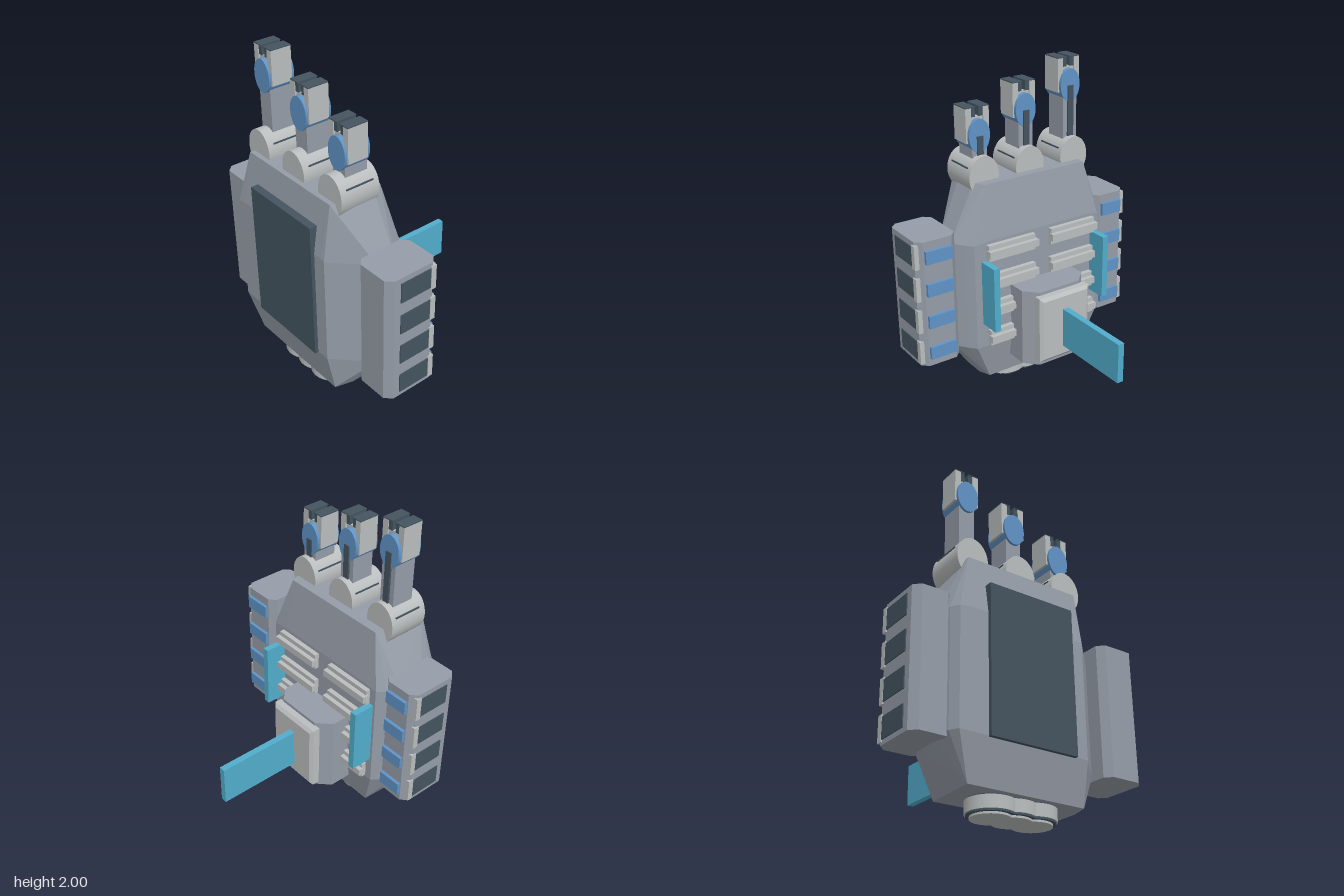
import * as THREE from 'three';
import { ConvexGeometry } from 'three/addons/geometries/ConvexGeometry.js';

export function createModel() {
  const model = new THREE.Group();
  model.name = 'mechanicalHand';
  const mat = (name, color) => {
    const m = new THREE.MeshStandardMaterial({ color });
    m.name = name;
    return m;
  };
  const grey = mat('armour grey', 0x969da8);
  const light = mat('light metal', 0xbabebe);
  const dark = mat('dark steel', 0x445460);
  const blue = mat('joint blue', 0x6094c6);
  const cyan = mat('fin cyan', 0x52adcc);

  const add = (name, geometry, material, parent = model) => {
    const mesh = new THREE.Mesh(geometry, material);
    mesh.name = name;
    parent.add(mesh);
    return mesh;
  };
  // box given by its min and max on each axis
  const box = (name, material, x0, x1, y0, y1, z0, z1, parent) => {
    const m = add(name, new THREE.BoxGeometry(x1 - x0, y1 - y0, z1 - z0), material, parent);
    m.position.set((x0 + x1) / 2, (y0 + y1) / 2, (z0 + z1) / 2);
    return m;
  };
  // convex solid through corner points
  const hull = (name, material, pts, parent) =>
    add(name, new ConvexGeometry(pts.map(p => new THREE.Vector3(...p))), material, parent);
  // upright prism over an x,z outline
  const prism = (name, material, outline, y0, y1, parent) =>
    hull(name, material, outline.flatMap(([x, z]) => [[x, y0, z], [x, y1, z]]), parent);
  // oval drum lying along z
  const drum = (name, material, x, y, rx, ry, z0, z1, parent) => {
    const g = new THREE.CylinderGeometry(1, 1, z1 - z0, 32).rotateX(Math.PI / 2).scale(rx, ry, 1);
    const m = add(name, g, material, parent);
    m.position.set(x, y, (z0 + z1) / 2);
    return m;
  };

  // palm: bevelled octagonal slab; sections are z, side x, end x, end y
  const palm = [];
  for (const [z, xl, xr, el, er, y0, y1] of [
    [0.60, -0.52, 0.29, -0.45, 0.26, 0.35, 1.04],
    [0.55, -0.55, 0.34, -0.44, 0.29, 0.10, 1.37],
    [0.44, -0.58, 0.45, -0.42, 0.32, 0.10, 1.37],
    [0.40, -0.58, 0.49, -0.42, 0.32, 0.10, 1.37],
    [0.28, -0.58, 0.49, -0.42, 0.32, 0.10, 1.37],
    [0.21, -0.54, 0.44, -0.42, 0.29, 0.10, 1.37],
    [0.16, -0.50, 0.40, -0.42, 0.29, 0.35, 1.04],
  ]) {
    palm.push([el, y1, z], [er, y1, z], [er, y0, z], [el, y0, z]);
    for (const y of [0.35, 1.03]) palm.push([xl, y, z], [xr, y, z]);
  }
  hull('palm', grey, palm);
  box('palmPanel', dark, -0.345, 0.205, 0.345, 1.21, 0.54, 0.622);

  // side pods with vents, clips and rear lights
  const pod = (side, inner, outer) => {
    const g = new THREE.Group();
    g.name = side > 0 ? 'leftPod' : 'rightPod';
    model.add(g);
    const span = (name, m, a, b, ...rest) =>
      box(name, m, Math.min(side * a, side * b), Math.max(side * a, side * b), ...rest, g);
    const i = inner, o = outer, c = 0.04;
    prism('podShell', grey, [[i, 0.24], [i + c, 0.2], [o - c, 0.2], [o, 0.24],
      [o, 0.5], [o - c, 0.54], [i + c, 0.54], [i, 0.5]].map(([x, z]) => [side * x, z]), 0.32, 1.12, g);
    for (let k = 0; k < 4; k++) {
      const y = 1.025 - k * 0.205;
      span('vent', dark, o - 0.02, o + 0.006, y - 0.062, y + 0.062, 0.255, 0.46);
      span('ventClip', light, o - 0.035, o + 0.008, y - 0.075, y + 0.075, 0.22, 0.255);
      span('rearLight', blue, i + 0.045, o - 0.045, y - 0.04, y + 0.04, 0.18, 0.205);
    }
  };
  pod(1, 0.485, 0.748);
  pod(-1, 0.515, 0.752);

  // rear housing, cover and fins
  prism('rearHousing', grey, [[-0.29, 0.18], [-0.29, 0.04], [-0.21, -0.04],
    [0.08, -0.04], [0.155, 0.04], [0.155, 0.18]], 0.225, 0.72);
  hull('rearCover', light, [[-0.035, 0], [-0.08, 0], [-0.097, 0.02]].flatMap(([z, d]) =>
    [[-0.25 + d, 0.27 + d, z], [0.11 - d, 0.27 + d, z], [-0.25 + d, 0.7 - d, z], [0.11 - d, 0.7 - d, z]]));
  box('rearFin', cyan, -0.09, -0.05, 0.345, 0.595, -0.62, -0.09);
  for (const x of [-0.465, 0.335]) box('sideFin', cyan, x - 0.02, x + 0.02, 0.51, 0.92, 0.025, 0.24);

  // stepped ribs on the back
  for (const x of [-0.29, 0.155]) {
    for (const y of [0.97, 0.78, 0.6, 0.41]) {
      box('ribBase', light, x - 0.165, x + 0.165, y - 0.05, y + 0.05, 0.13, 0.18);
      box('ribCap', light, x - 0.172, x + 0.172, y - 0.022, y + 0.022, 0.102, 0.14);
    }
  }

  // three fingers stepping down in length
  [[-0.39, 2.0], [-0.067, 1.9], [0.253, 1.8]].forEach(([x, tip]) => {
    const f = new THREE.Group();
    f.name = 'finger';
    f.position.x = x;
    model.add(f);
    drum('knuckle', light, 0, 1.395, 0.1, 0.125, 0.267, 0.52, f);
    box('stem', grey, -0.05, 0.05, 1.4, tip - 0.1, 0.31, 0.455, f);
    box('stemStrip', dark, -0.02, 0.02, 1.45, tip - 0.17, 0.298, 0.32, f);
    drum('fingerJoint', blue, 0, tip - 0.17, 0.07, 0.1, 0.305, 0.47, f);
    box('jawBridge', light, -0.045, 0.045, tip - 0.2, tip - 0.058, 0.335, 0.445, f);
    for (const s of [-1, 1]) {
      const part = (name, m, a, b, ...rest) =>
        box(name, m, Math.min(s * a, s * b), Math.max(s * a, s * b), ...rest, f);
      part('knuckleGroove', dark, 0.084, 0.092, 1.451, 1.459, 0.3, 0.48);
      part('jaw', light, 0.04, 0.078, tip - 0.21, tip - 0.006, 0.325, 0.455);
      part('jawPad', dark, 0.012, 0.042, tip - 0.06, tip - 0.006, 0.33, 0.45);
      part('tipPlate', dark, 0.012, 0.078, tip - 0.006, tip, 0.325, 0.455);
    }
  });

  // wrist discs underneath
  for (const x of [-0.195, -0.065, 0.065]) {
    const disc = (name, m, r, y0, y1) =>
      add(name, new THREE.CylinderGeometry(r, r, y1 - y0, 32), m).position.set(x, (y0 + y1) / 2, 0.395);
    disc('wristCollar', dark, 0.125, 0.085, 0.13);
    disc('wristDisc', light, 0.135, 0.022, 0.092);
    disc('wristRim', dark, 0.128, 0.012, 0.024);
    disc('wristCap', light, 0.11, 0, 0.02);
  }
  return model;
}
